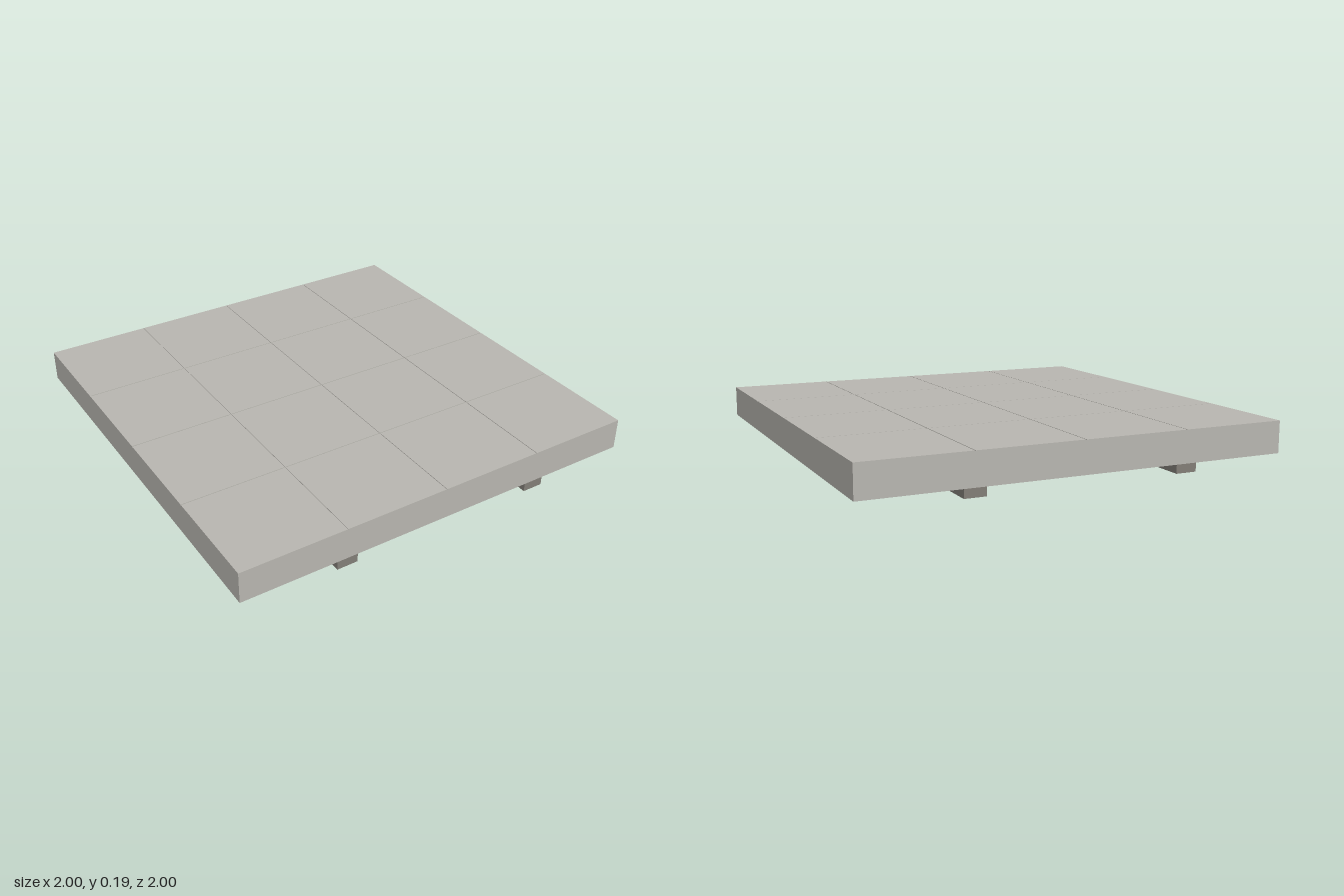
import * as THREE from 'three';

export function createModel() {
  const model = new THREE.Group();
  const concrete = new THREE.MeshStandardMaterial({ color: 0xb8b6b0 });
  concrete.name = 'light concrete';
  const railGrey = new THREE.MeshStandardMaterial({ color: 0x827e77 });
  railGrey.name = 'rail grey';

  const addBox = (name, material, [w, h, d], [x, y, z], parent = model) => {
    const mesh = new THREE.Mesh(new THREE.BoxGeometry(w, h, d), material);
    mesh.name = name;
    mesh.position.set(x, y, z);
    parent.add(mesh);
  };

  const slabBottom = 0.04, top = 0.19, tileHeight = 0.003, joint = 0.004;
  const slabHeight = top - tileHeight - slabBottom;

  // Slab
  addBox('slab', concrete, [2, slabHeight, 2], [0, slabBottom + slabHeight / 2, 0]);

  // Four by four paving tiles, separated by hairline joints and flush at the rim
  const tiles = new THREE.Group();
  tiles.name = 'tiles';
  model.add(tiles);
  const span = (i) => {
    const start = -1 + i * 0.5 + (i > 0 ? joint / 2 : 0);
    const end = -0.5 + i * 0.5 - (i < 3 ? joint / 2 : 0);
    return { size: end - start, mid: (start + end) / 2 };
  };
  for (let i = 0; i < 4; i++) {
    for (let j = 0; j < 4; j++) {
      const sx = span(i), sz = span(j);
      addBox('tile', concrete, [sx.size, tileHeight, sz.size],
        [sx.mid, top - tileHeight / 2, sz.mid], tiles);
    }
  }

  // Support rails running front to back
  for (const [side, name] of [[1, 'leftRail'], [-1, 'rightRail']]) {
    addBox(name, railGrey, [0.1, slabBottom, 2], [side * 0.5, slabBottom / 2, 0]);
  }

  return model;
}
